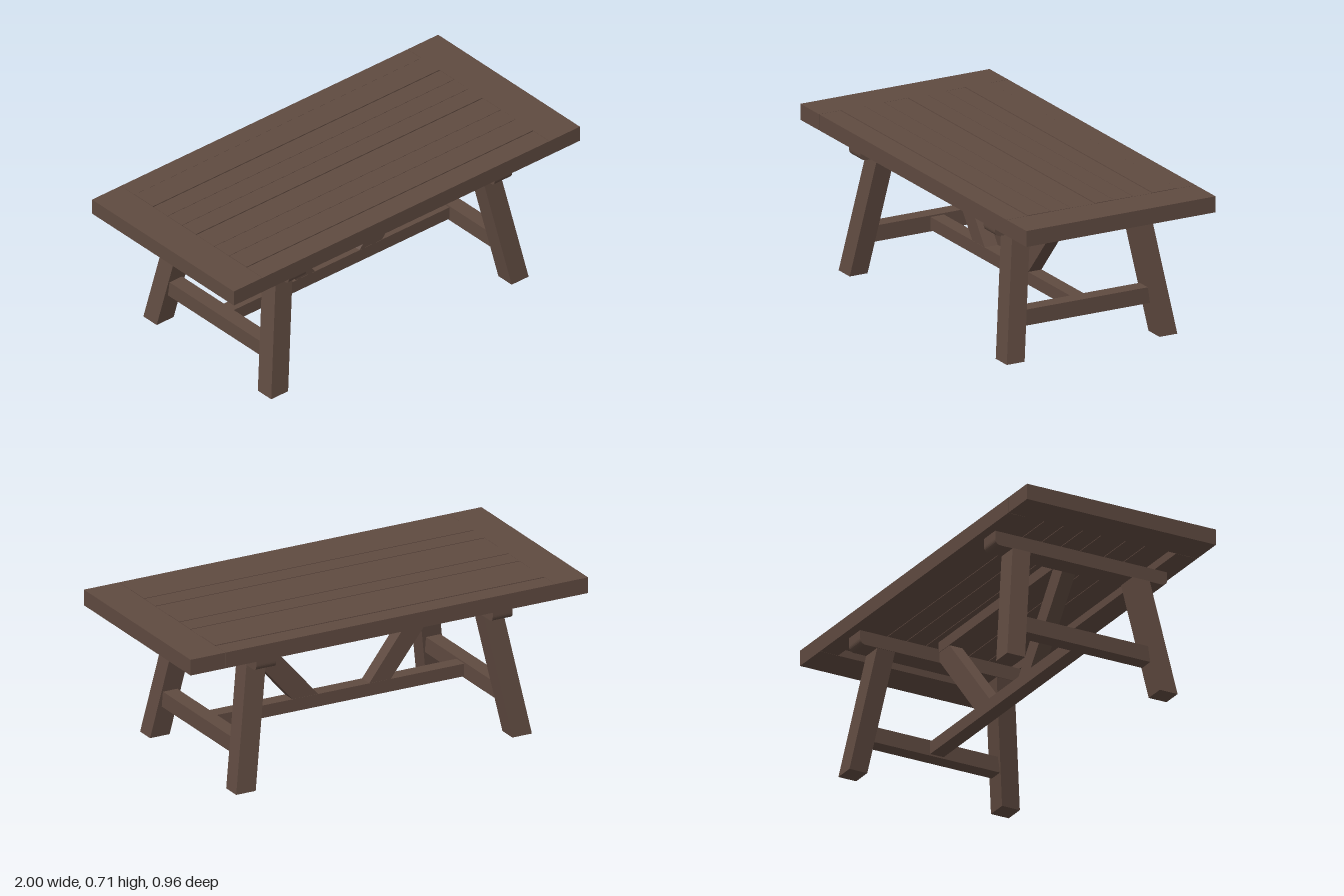
import * as THREE from 'three';

const wood = new THREE.MeshStandardMaterial({ color: 0x5f4a40 });
wood.name = 'dark brown wood';

export function createModel() {
  const table = new THREE.Group();
  table.name = 'trestleTable';

  const add = (name, geometry) => {
    const mesh = new THREE.Mesh(geometry, wood);
    mesh.name = name;
    table.add(mesh);
    return mesh;
  };

  // Box given by its limits on each axis
  const block = (name, x0, x1, y0, y1, z0, z1) =>
    add(name, new THREE.BoxGeometry(x1 - x0, y1 - y0, z1 - z0)
      .translate((x0 + x1) / 2, (y0 + y1) / 2, (z0 + z1) / 2));

  // Tabletop: thick rim boards, thinner planks recessed underneath
  const top = 0.704, under = 0.63, plankUnder = 0.665;
  const left = -0.833, right = 0.823, gap = 0.0015;
  block('endBoardRight', -1, left - gap, under, top, -0.478, 0.478);
  block('endBoardLeft', right + gap, 1, under, top, -0.478, 0.478);
  const seams = [-0.478, -0.385, -0.26, -0.163, -0.065, 0.03, 0.152, 0.252, 0.37, 0.478];
  const lift = [0, 0.002, 0, 0.001, 0.002, 0, 0.001, 0.002, 0];
  lift.forEach((dy, i) => {
    const first = i === 0, last = i === lift.length - 1;
    block('plank' + (i + 1), left, right, first || last ? under : plankUnder, top + dy,
      seams[i] + (first ? 0 : gap), seams[i + 1] - (last ? 0 : gap));
  });

  // Centre rail under the planks
  block('topRail', -0.55, 0.55, 0.615, plankUnder, -0.035, 0.035);

  for (const s of [-1, 1]) {
    const side = s < 0 ? 'Right' : 'Left';

    // Cross beam with rounded lower corners, outlined in z and y
    const h = 0.435, r = 0.03, y0 = 0.565;
    const outline = new THREE.Shape();
    outline.moveTo(-h, under);
    outline.lineTo(-h, y0 + r);
    outline.quadraticCurveTo(-h, y0, -h + r, y0);
    outline.lineTo(h - r, y0);
    outline.quadraticCurveTo(h, y0, h, y0 + r);
    outline.lineTo(h, under);
    const beam = new THREE.ExtrudeGeometry(outline, { depth: 0.1, bevelEnabled: false, curveSegments: 8 });
    beam.translate(0, 0, -0.05).rotateY(Math.PI / 2).translate(s * 0.595, 0, 0);
    add('crossBeam' + side, beam);

    // Splayed legs: upright boxes sheared outward toward the floor
    for (const t of [-1, 1]) {
      const leg = new THREE.BoxGeometry(0.098, 0.567, 0.09).translate(0, 0.2835, 0);
      const p = leg.attributes.position;
      for (let i = 0; i < p.count; i++) {
        const k = p.getY(i) / 0.567;
        p.setX(i, p.getX(i) + s * (0.695 - 0.099 * k));
        p.setZ(i, p.getZ(i) + t * (0.386 - 0.084 * k));
      }
      leg.computeVertexNormals();
      add((t > 0 ? 'frontLeg' : 'backLeg') + side, leg);
    }

    // Stretcher between the two legs of one end
    block('sideStretcher' + side, s * 0.662 - 0.036, s * 0.662 + 0.036, 0.148, 0.222, -0.33, 0.33);
  }

  // Long stretcher joining the ends
  block('longStretcher', -0.63, 0.63, 0.156, 0.215, -0.034, 0.034);

  // Diagonal braces from the long stretcher up to the beams
  const braces = {
    braceRight: [[-0.255, 0.212], [-0.147, 0.212], [-0.455, 0.617], [-0.547, 0.617], [-0.547, 0.587]],
    braceLeft: [[0.105, 0.212], [0.235, 0.212], [0.547, 0.572], [0.547, 0.617], [0.46, 0.617]],
  };
  for (const [name, points] of Object.entries(braces)) {
    const shape = new THREE.Shape(points.map(([x, y]) => new THREE.Vector2(x, y)));
    add(name, new THREE.ExtrudeGeometry(shape, { depth: 0.066, bevelEnabled: false }).translate(0, 0, -0.033));
  }

  return table;
}
